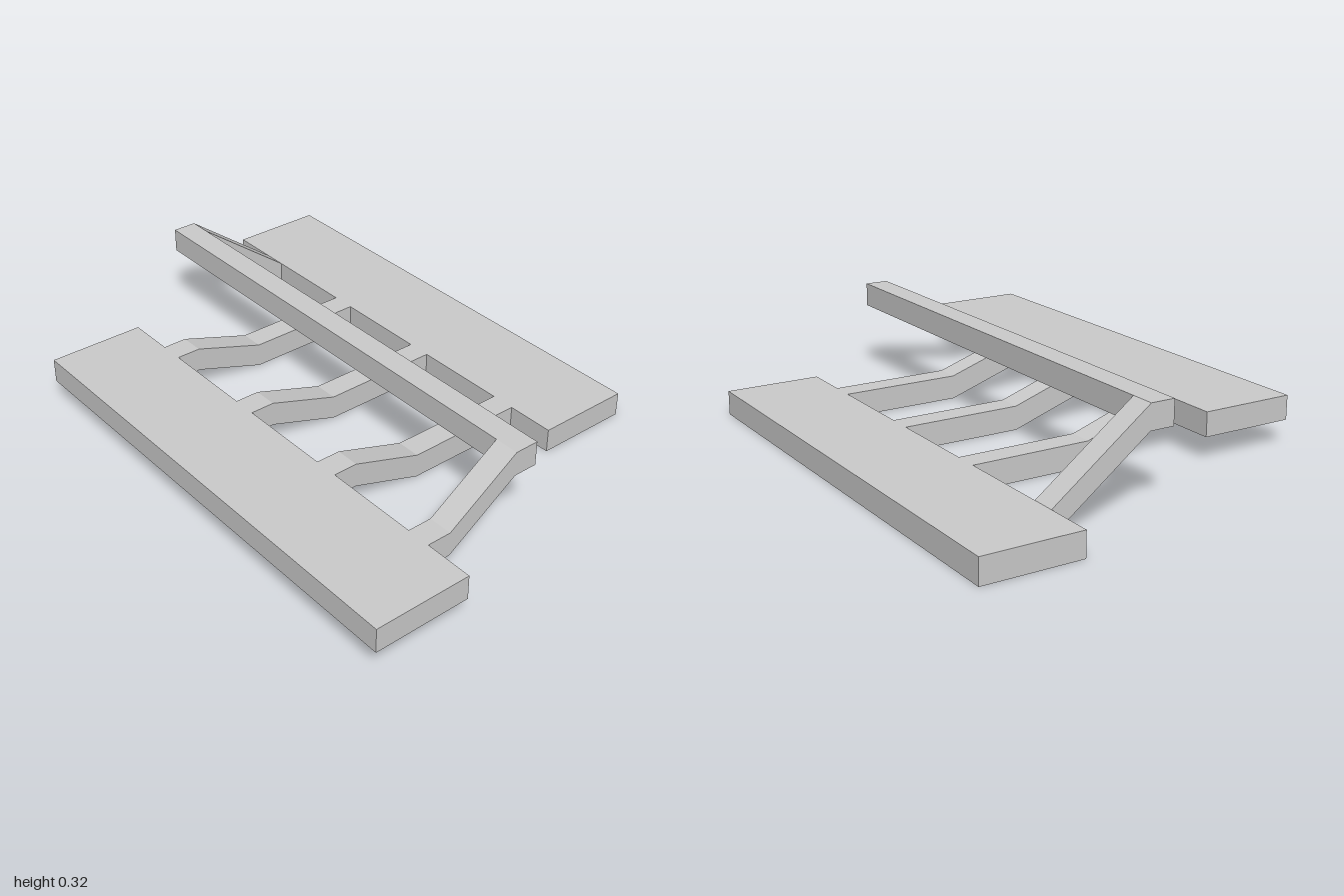
import * as THREE from 'three';

const T = 0.08; // thickness shared by every plate, strip and bar

export function createModel() {
  const group = new THREE.Group();
  const material = new THREE.MeshStandardMaterial({ color: 0xcccccc, flatShading: true });

  const add = (name, geometry, x, y, z) => {
    const mesh = new THREE.Mesh(geometry, material);
    mesh.name = name;
    mesh.position.set(x, y, z);
    group.add(mesh);
  };

  // Bent strip: a path of lower-edge points (left to right), T tall and T deep
  const strip = (name, path, z) => {
    const lower = path.map(([x, y]) => new THREE.Vector2(x, y));
    const upper = path.map(([x, y]) => new THREE.Vector2(x, y + T)).reverse();
    const shape = new THREE.Shape([...lower, ...upper]);
    add(name, new THREE.ExtrudeGeometry(shape, { depth: T, bevelEnabled: false }), 0, 0, z - T / 2);
  };

  // Two offset plates, the right one raised by one thickness
  add('rightPlate', new THREE.BoxGeometry(0.32, T, 1.6), -0.52, 0.12, 0.2);
  add('leftPlate', new THREE.BoxGeometry(0.32, T, 1.6), 0.52, 0.04, -0.2);

  // Three stepped rungs joining the plates
  for (const z of [-0.4, 0, 0.4]) {
    strip('rung', [[-0.36, 0.08], [-0.28, 0.08], [-0.04, 0], [0.36, 0]], z);
  }

  // Raised ridge bar and the arms carrying its two ends
  add('ridgeBar', new THREE.BoxGeometry(T, T, 1.68), 0, 0.28, 0);
  strip('frontArm', [[-0.36, 0.08], [-0.28, 0.08], [-0.04, 0.24]], 0.8);
  strip('backArm', [[0.04, 0.24], [0.36, 0]], -0.8);

  return group;
}
